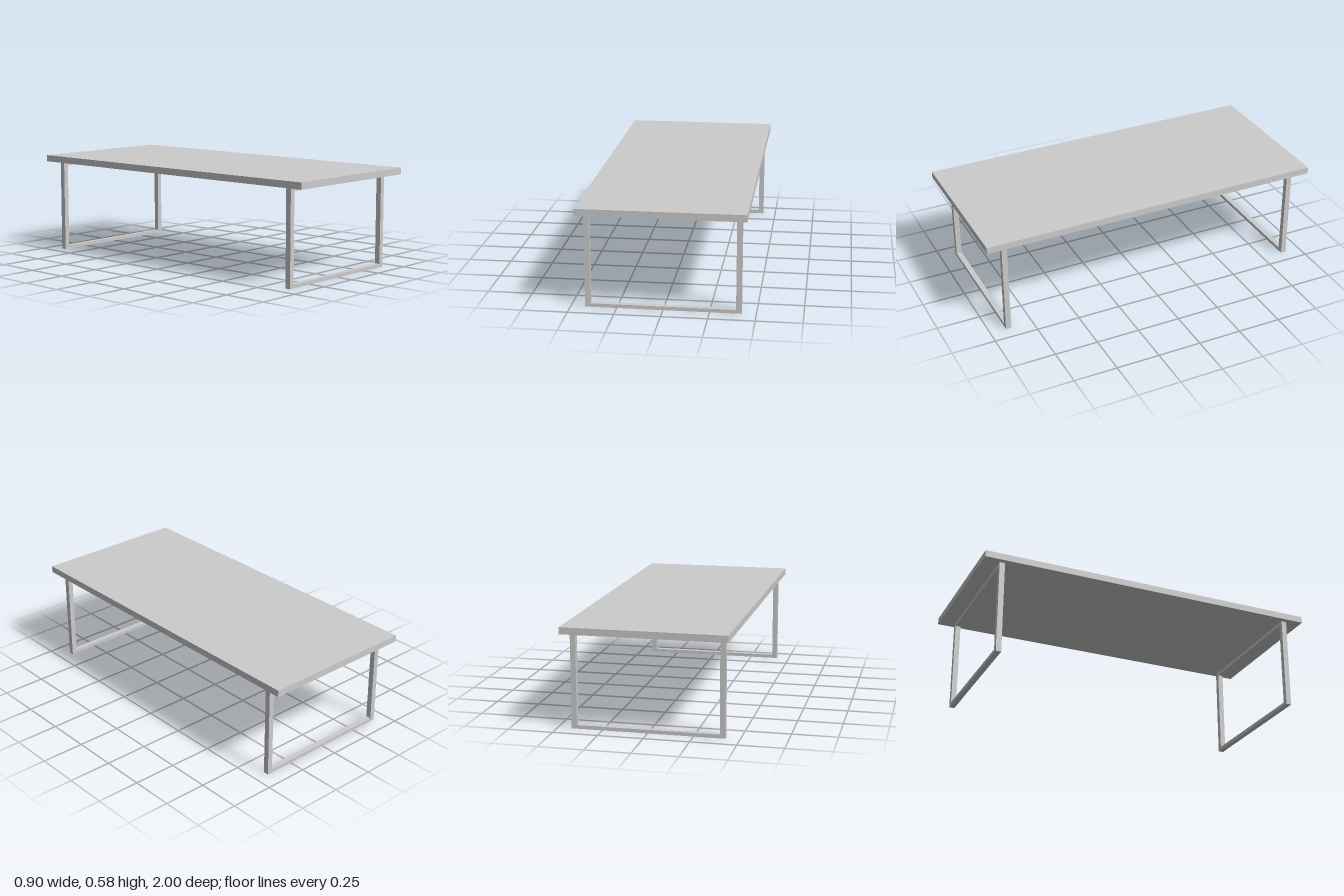
import * as THREE from 'three';

export function createModel() {
  const group = new THREE.Group();
  const material = new THREE.MeshStandardMaterial({ color: 0xcccccc });

  // Table top slab
  const topThickness = 0.038, frameHeight = 0.54;
  const top = new THREE.Mesh(new THREE.BoxGeometry(0.904, topThickness, 2), material);
  top.name = 'tableTop';
  top.position.y = frameHeight + topThickness / 2;
  group.add(top);

  // Rectangular leg frame with an open middle
  const halfWidth = 0.422, post = 0.03, rail = 0.02, depth = 0.031;
  const rect = (Path, x, y0, y1) => new Path([
    new THREE.Vector2(-x, y0), new THREE.Vector2(x, y0),
    new THREE.Vector2(x, y1), new THREE.Vector2(-x, y1),
  ]);
  const outline = rect(THREE.Shape, halfWidth, 0, frameHeight);
  outline.holes.push(rect(THREE.Path, halfWidth - post, rail, frameHeight - rail));
  const frameGeometry = new THREE.ExtrudeGeometry(outline, { depth, bevelEnabled: false });
  frameGeometry.translate(0, 0, -depth / 2);

  // One frame near each end
  for (const [name, z] of [['frontLegFrame', 0.892], ['backLegFrame', -0.892]]) {
    const frame = new THREE.Mesh(frameGeometry, material);
    frame.name = name;
    frame.position.z = z;
    group.add(frame);
  }
  return group;
}
